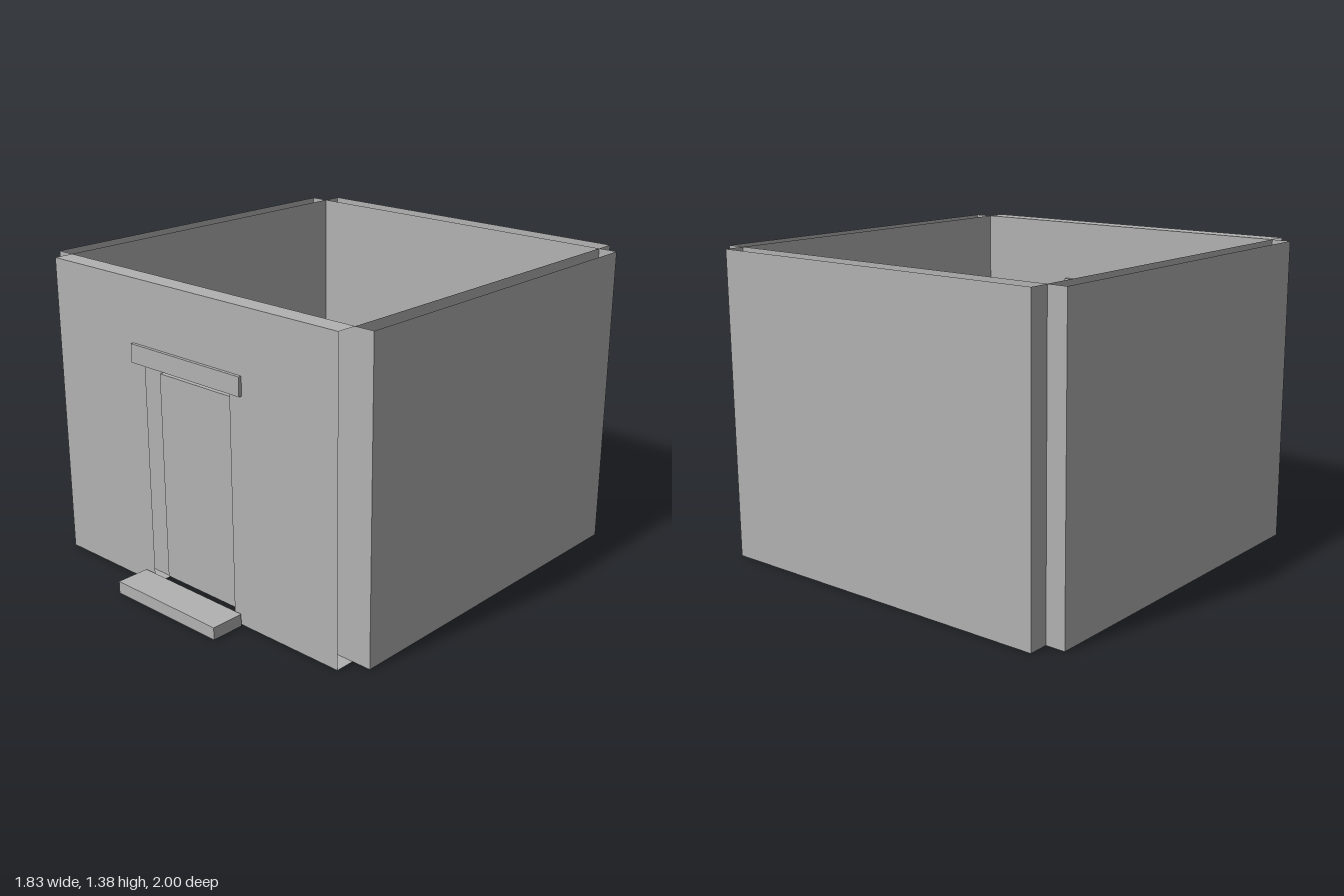
import * as THREE from 'three';

export function createModel() {
  const model = new THREE.Group();
  const grey = new THREE.MeshStandardMaterial({ color: 0xb2b2b2, side: THREE.DoubleSide });
  grey.name = 'plain grey';

  // Box from min/max ranges; `open` names the axis whose two end faces are left off
  function block(name, [x0, x1], [y0, y1], [z0, z1], open = '') {
    const geo = new THREE.BoxGeometry(x1 - x0, y1 - y0, z1 - z0);
    if (open) {
      const skip = 'xyz'.indexOf(open);
      const kept = Array.from(geo.index.array).filter((_, i) => Math.floor(i / 12) !== skip);
      geo.setIndex(kept);
      geo.clearGroups();
    }
    const mesh = new THREE.Mesh(geo, grey);
    mesh.name = name;
    mesh.position.set((x0 + x1) / 2, (y0 + y1) / 2, (z0 + z1) / 2);
    model.add(mesh);
  }

  const H = 1.38, inner = 0.827, outer = 0.916, jamb = 0.253, head = 1.017;
  const front = [0.745, 0.835];

  // Side walls and back wall: hollow, open at top and bottom
  block('leftWall', [inner, outer], [0, H], [-0.908, 0.745], 'y');
  block('rightWall', [-outer, -inner], [0, H], [-0.908, 0.745], 'y');
  block('backWall', [-inner, inner], [0, H], [-1, -0.908], 'y');

  // Front wall around the doorway: hollow, open at the ends and jambs
  block('frontWallLeft', [jamb, inner], [0, H], front, 'x');
  block('frontWallRight', [-inner, -jamb], [0, H], front, 'x');
  block('frontWallHeader', [-jamb, jamb], [head, H], front, 'x');

  // Door, lintel and doorstep
  block('door', [-0.233, 0.233], [0.02, 0.967], [0.745, 0.775]);
  block('lintel', [-0.322, 0.322], [1.015, 1.098], [0.725, 0.85]);
  block('doorstep', [-0.3, 0.3], [0, 0.056], [0.845, 1]);

  return model;
}
